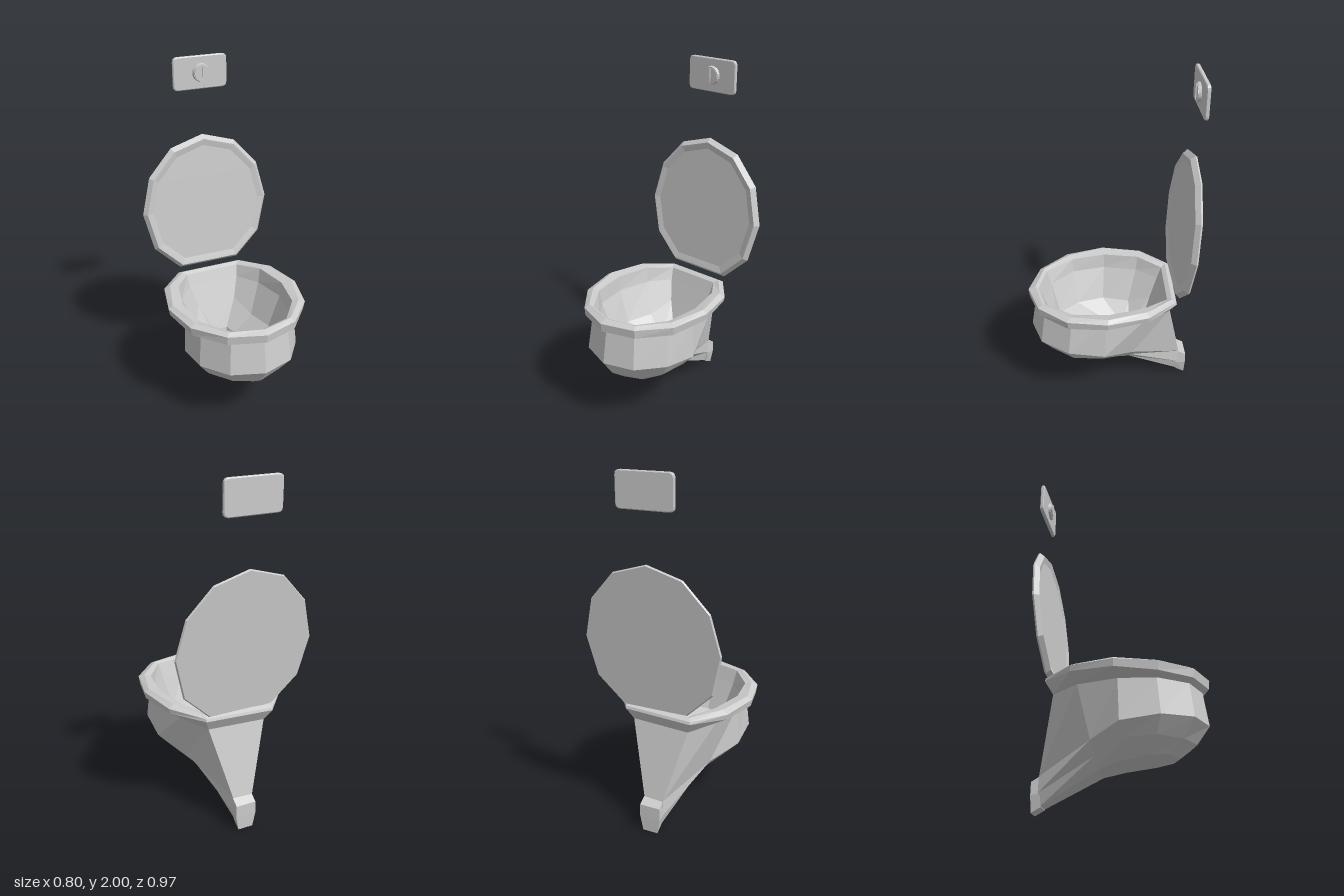
import * as THREE from 'three';
import { ConvexGeometry } from 'three/addons/geometries/ConvexGeometry.js';

const material = new THREE.MeshStandardMaterial({ color: 0xcccccc, flatShading: true, side: THREE.DoubleSide });

function add(parent, name, geometry) {
  const mesh = new THREE.Mesh(geometry, material);
  mesh.name = name;
  parent.add(mesh);
  return mesh;
}

// A closed 11-point ring from half an outline: centre point first, then five mirrored points.
function ring(half, warp = (p) => p) {
  const other = half.slice(1).reverse().map(([x, y, z]) => [-x, y, z]);
  return [...half, ...other].map(warp);
}

// Skins rings into a faceted surface, optionally closing either end.
function loft(rings, { start = false, end = false } = {}) {
  const out = [];
  const quad = (a, b, c, d) => out.push(...a, ...b, ...c, ...a, ...c, ...d);
  const n = rings[0].length;
  for (let r = 0; r < rings.length - 1; r++) {
    for (let i = 0; i < n; i++) {
      const j = (i + 1) % n;
      quad(rings[r][i], rings[r][j], rings[r + 1][j], rings[r + 1][i]);
    }
  }
  // Caps are strips joining each point to its mirror twin.
  const cap = (p, flip) => {
    const tri = (a, b, c) => (flip ? out.push(...a, ...c, ...b) : out.push(...a, ...b, ...c));
    tri(p[0], p[1], p[n - 1]);
    for (let i = 1; i < (n - 1) / 2; i++) {
      tri(p[i], p[i + 1], p[n - i - 1]);
      tri(p[i], p[n - i - 1], p[n - i]);
    }
  };
  if (start) cap(rings[0], true);
  if (end) cap(rings[rings.length - 1], false);
  const geometry = new THREE.BufferGeometry();
  geometry.setAttribute('position', new THREE.Float32BufferAttribute(out, 3));
  geometry.computeVertexNormals();
  return geometry;
}

function createBowl() {
  const group = new THREE.Group();
  group.name = 'bowl';
  // Slight hand-made lopsidedness: the +x side sits higher and further forward.
  const skew = ([x, y, z]) => [x - 0.02 * Math.abs(x), y + 0.03 * x, z + 0.04 * x];
  const rings = (list) => list.map((half) => ring(half, skew));

  const bodyTop = [[0, 0.63, 0.44], [0.17, 0.63, 0.385], [0.285, 0.63, 0.23], [0.305, 0.63, 0.03], [0.27, 0.62, -0.19], [0.17, 0.605, -0.345]];
  const opening = [[0, 0.705, 0.42], [0.165, 0.705, 0.375], [0.28, 0.705, 0.22], [0.31, 0.71, 0.02], [0.265, 0.71, -0.19], [0.165, 0.69, -0.33]];

  // Outer shell, running back and down into the outlet
  add(group, 'outerShell', loft(rings([
    [[0, 0.27, 0.31], [0.11, 0.27, 0.26], [0.15, 0.26, 0.16], [0.13, 0.235, 0], [0.09, 0.2, -0.12], [0.04, 0.025, -0.44]],
    [[0, 0.34, 0.4], [0.14, 0.34, 0.345], [0.24, 0.34, 0.22], [0.25, 0.33, 0.05], [0.15, 0.265, -0.12], [0.06, 0.1, -0.44]],
    [[0, 0.44, 0.47], [0.185, 0.44, 0.41], [0.3, 0.43, 0.25], [0.315, 0.4, 0.04], [0.21, 0.335, -0.13], [0.06, 0.19, -0.435]],
    bodyTop,
  ]), { start: true }));

  // Overhanging rim
  add(group, 'rim', loft(rings([
    bodyTop,
    [[0, 0.65, 0.475], [0.2, 0.65, 0.41], [0.34, 0.65, 0.245], [0.39, 0.665, 0.025], [0.34, 0.67, -0.21], [0.2, 0.675, -0.385]],
    [[0, 0.7, 0.48], [0.2, 0.7, 0.415], [0.347, 0.7, 0.25], [0.397, 0.705, 0.025], [0.347, 0.7, -0.21], [0.2, 0.69, -0.38]],
    [[0, 0.715, 0.44], [0.185, 0.715, 0.39], [0.315, 0.715, 0.235], [0.37, 0.722, 0.02], [0.315, 0.718, -0.2], [0.185, 0.702, -0.355]],
    opening,
  ])));

  // Inner basin, falling to a drain near the back
  add(group, 'basin', loft(rings([
    opening,
    [[0, 0.62, 0.39], [0.15, 0.62, 0.35], [0.27, 0.62, 0.21], [0.3, 0.62, 0.02], [0.25, 0.62, -0.18], [0.155, 0.62, -0.305]],
    [[0, 0.43, 0.315], [0.1, 0.43, 0.3], [0.19, 0.43, 0.19], [0.225, 0.43, 0.03], [0.18, 0.43, -0.13], [0.12, 0.5, -0.26]],
    [[0, 0.31, -0.05], [0.035, 0.31, -0.045], [0.06, 0.31, -0.06], [0.075, 0.32, -0.09], [0.07, 0.32, -0.13], [0.04, 0.33, -0.195]],
    [[0, 0.26, -0.07], [0.03, 0.26, -0.075], [0.045, 0.26, -0.085], [0.06, 0.26, -0.1], [0.055, 0.26, -0.13], [0.035, 0.26, -0.18]],
  ]), { end: true }));

  // Outlet stub
  const section = [[0.06, 0.19, -0.43], [0.062, 0.1, -0.42], [0.045, 0.03, -0.425], [0.06, 0.16, -0.48], [0.062, 0.09, -0.48], [0.045, 0, -0.478]];
  const corners = section.flatMap(([x, y, z]) => [new THREE.Vector3(x, y, z), new THREE.Vector3(-x, y, z)]);
  add(group, 'outlet', new ConvexGeometry(corners));
  return group;
}

function createLid() {
  // Outline scaled about the lid's middle and leaned back; depth is measured from the back face.
  const outline = [[0, 1.54], [-0.2, 1.48], [-0.345, 1.32], [-0.4, 1.1], [-0.345, 0.87], [-0.19, 0.72]];
  const level = (scale, depth) => ring(outline.map(([x, y]) => {
    const h = 1.13 + (y - 1.13) * scale;
    return [x * scale, h, -0.402 - 0.09 * (h - 0.72) + depth];
  }));
  return loft([level(0.985, 0), level(1, 0.01), level(0.945, 0.036), level(0.92, 0.034), level(0.85, 0.027)], { start: true, end: true });
}

function createFlushPlate() {
  const group = new THREE.Group();
  group.name = 'flushPlate';
  group.position.set(-0.004, 1.905, -0.486);

  // Plate with clipped corners
  const w = 0.157, h = 0.09, c = 0.022;
  const shape = new THREE.Shape();
  shape.moveTo(-w + c, -h);
  shape.lineTo(w - c, -h);
  shape.quadraticCurveTo(w, -h, w, -h + c);
  shape.lineTo(w, h - c);
  shape.quadraticCurveTo(w, h, w - c, h);
  shape.lineTo(-w + c, h);
  shape.quadraticCurveTo(-w, h, -w, h - c);
  shape.lineTo(-w, -h + c);
  shape.quadraticCurveTo(-w, -h, -w + c, -h);
  const plate = add(group, 'plate', new THREE.ExtrudeGeometry(shape, {
    depth: 0.014, bevelThickness: 0.004, bevelSize: 0.005, bevelSegments: 1, curveSegments: 3,
  }));
  plate.position.z = 0.004;

  // Round collar with a split push button
  const collar = add(group, 'buttonCollar', new THREE.CylinderGeometry(0.048, 0.053, 0.016, 20));
  collar.rotation.x = Math.PI / 2;
  collar.position.set(0.004, 0, 0.029);
  for (const side of [-1, 1]) {
    const half = new THREE.Shape();
    half.absarc(0, 0, 0.042, side > 0 ? -Math.PI / 2 : Math.PI / 2, side > 0 ? Math.PI / 2 : Math.PI * 1.5);
    const button = add(group, side > 0 ? 'leftButton' : 'rightButton', new THREE.ExtrudeGeometry(half, {
      depth: side > 0 ? 0.004 : 0.009, bevelEnabled: false, curveSegments: 10,
    }));
    button.position.set(0.004 + side * 0.002, 0, 0.036);
  }
  return group;
}

export function createModel() {
  const model = new THREE.Group();
  model.name = 'wallToilet';
  model.add(createBowl());
  add(model, 'lid', createLid());
  model.add(createFlushPlate());
  return model;
}
